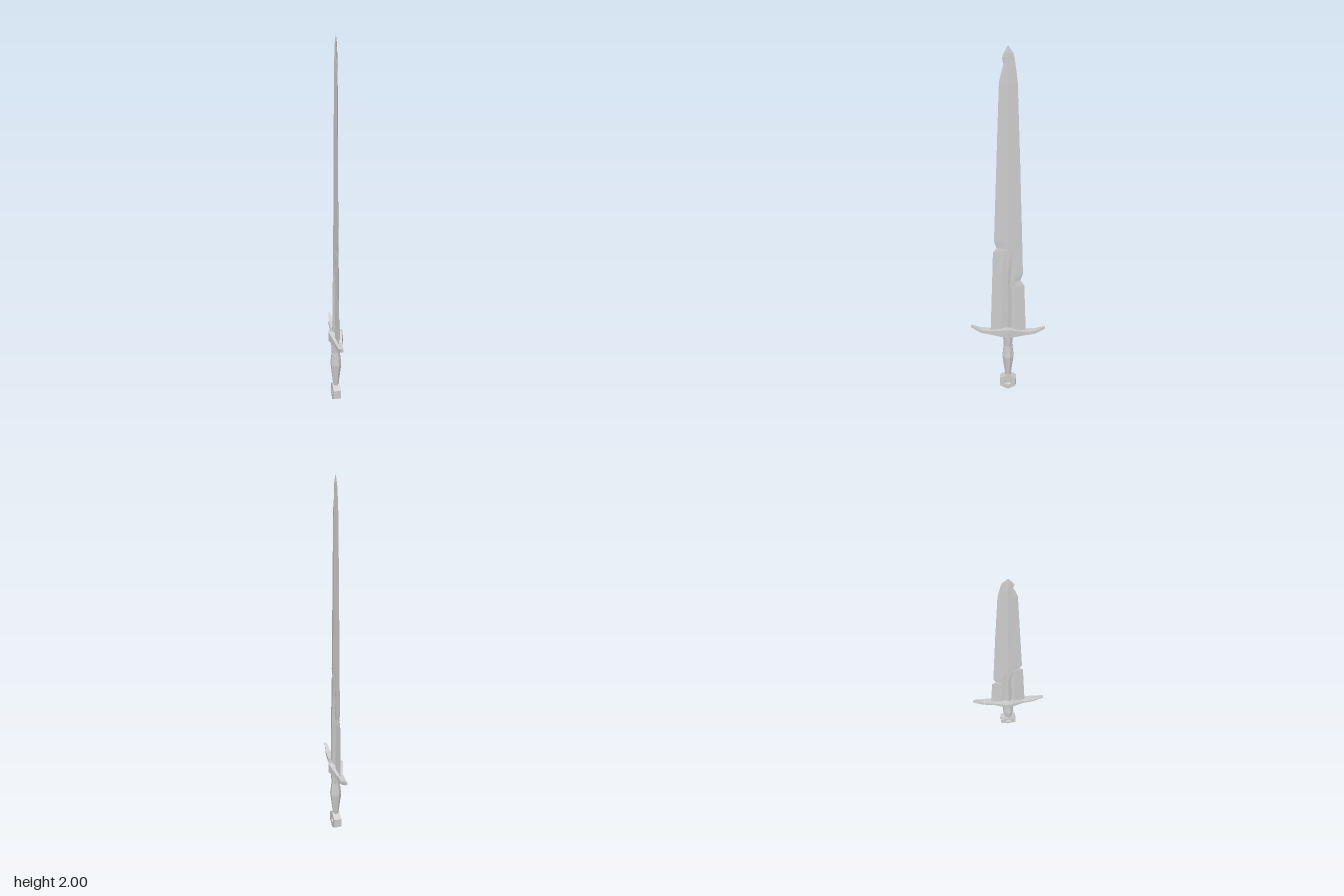
import * as THREE from 'three';

const metal = new THREE.MeshStandardMaterial({ color: 0xcccccc, flatShading: true });

// Skin over equal-length rings of [x, y, z], counter-clockwise seen from the far end
function loft(rings) {
  const n = rings[0].length, index = [];
  for (let r = 0; r < rings.length - 1; r++) {
    for (let i = 0; i < n; i++) {
      const a = r * n + i, b = r * n + (i + 1) % n;
      index.push(a, b, b + n, a, b + n, a + n);
    }
  }
  const last = (rings.length - 1) * n;
  for (let i = 1; i < n - 1; i++) {
    index.push(0, i + 1, i, last, last + i, last + i + 1);
  }
  const g = new THREE.BufferGeometry();
  g.setAttribute('position', new THREE.Float32BufferAttribute(rings.flat(2), 3));
  g.setIndex(index);
  g.computeVertexNormals();
  return g;
}

function add(group, name, geometry) {
  const mesh = new THREE.Mesh(geometry, metal);
  mesh.name = name;
  group.add(mesh);
  return mesh;
}

// Blade section: raised spine, a groove on either side, sharp edges
function bladeRing([y, front, back, thick, groove]) {
  const half = [[front, 0]];
  const side = (edge, fractions) => fractions.forEach((f) => {
    const flat = thick * (1 - f);
    const cut = f < 0.3 ? 0.45 : 1.12;
    half.push([edge * f, flat * (1 + (cut - 1) * groove)]);
  });
  side(front, [0.42, 0.2]);
  half.push([0, thick]);
  side(back, [0.2, 0.42]);
  const right = half.map(([z, x]) => [x, y, z]);
  const left = half.slice(1).reverse().map(([z, x]) => [-x, y, z]);
  return [...right, [0, y, back], ...left];
}

export function createModel() {
  const sword = new THREE.Group();
  sword.name = 'sword';

  // Blade rows: height, front edge, back edge, half thickness, groove depth (with nicks)
  const blade = [
    [0.39, 0.093, -0.095, 0.019, 1],
    [0.69, 0.083, -0.085, 0.016, 0.9],
    [0.72, 0.082, -0.064, 0.016, 0.85],
    [0.76, 0.081, -0.077, 0.0155, 0.8],
    [0.89, 0.077, -0.074, 0.014, 0],
    [0.917, 0.058, -0.073, 0.0138, 0],
    [0.955, 0.071, -0.072, 0.0135, 0],
    [1.4, 0.056, -0.059, 0.011, 0],
    [1.82, 0.042, -0.045, 0.009, 0],
    [1.875, 0.03, -0.039, 0.008, 0],
    [1.91, 0.021, -0.034, 0.007, 0],
    [1.94, 0.027, -0.03, 0.006, 0],
    [1.965, 0.019, -0.024, 0.005, 0],
    [2.0, 0.001, -0.001, 0.001, 0],
  ];
  add(sword, 'blade', loft(blade.map(bladeRing)));

  // Crossguard rows: distance out, underside, top, half width; mirrored to both arms
  const arm = [
    [0, 0.37, 0.425, 0.04],
    [0.08, 0.372, 0.398, 0.017],
    [0.145, 0.383, 0.402, 0.013],
    [0.197, 0.412, 0.426, 0.005],
  ];
  const guard = [...arm.slice(1).reverse().map(([z, ...r]) => [-z, ...r]), ...arm];
  add(sword, 'crossguard', loft(guard.map(([z, low, high, w]) =>
    [[w, low, z], [w, high, z], [-w, high, z], [-w, low, z]])));

  // Grip: eight-sided, swelling at the middle
  const grip = [[0.014, 0.085], [0.018, 0.11], [0.032, 0.22], [0.032, 0.23], [0.024, 0.3], [0.03, 0.372]];
  const gripMesh = add(sword, 'grip', new THREE.LatheGeometry(
    grip.map(([r, y]) => new THREE.Vector2(r, y)), 8, Math.PI / 8));
  gripMesh.scale.x = 0.92;

  // Pommel: hexagonal block lying across, recessed on both faces
  const pommel = [[0, -0.012], [0.013, -0.012], [0.02, -0.02], [0.05, -0.02],
    [0.05, 0.02], [0.02, 0.02], [0.013, 0.012], [0, 0.012]];
  const pommelMesh = add(sword, 'pommel', new THREE.LatheGeometry(
    pommel.map(([r, y]) => new THREE.Vector2(r, y)), 6, Math.PI / 2));
  pommelMesh.rotation.z = Math.PI / 2;
  pommelMesh.position.y = 0.05;

  return sword;
}
